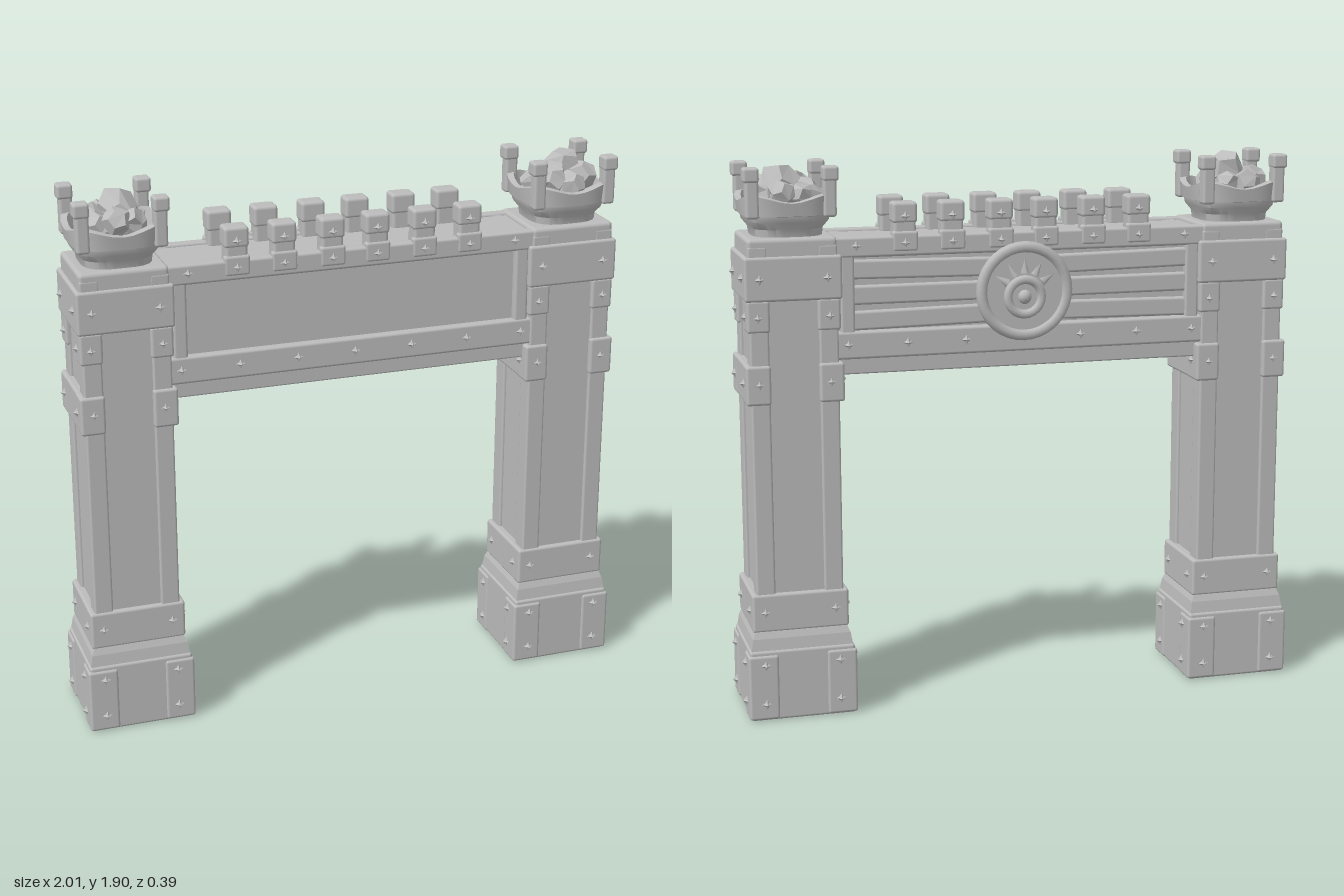
import * as THREE from 'three';
import { toCreasedNormals } from 'three/addons/utils/BufferGeometryUtils.js';
import { RoundedBoxGeometry } from 'three/addons/geometries/RoundedBoxGeometry.js';

const stone = new THREE.MeshStandardMaterial({ color: 0xbcbcbc });
stone.name = 'grey stone';

function add(parent, name, geometry, x = 0, y = 0, z = 0) {
  const mesh = new THREE.Mesh(geometry, stone);
  mesh.name = name;
  mesh.position.set(x, y, z);
  parent.add(mesh);
  return mesh;
}

// Softly worn block given by its size, bottom height and centre
function block(parent, name, w, d, y0, y1, x = 0, z = 0, r = 0.01) {
  const radius = Math.min(r, w / 3, d / 3, (y1 - y0) / 3);
  return add(parent, name, new RoundedBoxGeometry(w, y1 - y0, d, 2, radius), x, (y0 + y1) / 2, z);
}

// Four-sided tapered block
function taper(parent, name, bottom, top, y0, y1, depth) {
  const g = new THREE.CylinderGeometry(top * Math.SQRT2, bottom * Math.SQRT2, y1 - y0, 4);
  g.rotateY(Math.PI / 4).scale(1, 1, depth);
  add(parent, name, toCreasedNormals(g, 0.5), 0, (y0 + y1) / 2, 0);
}

// Small four-pointed stud, facing the direction given by turn (0 = front)
const studShape = new THREE.ConeGeometry(0.026, 0.022, 8);
const sp = studShape.attributes.position;
for (let i = 0; i < sp.count; i++) {
  const x = sp.getX(i), z = sp.getZ(i);
  const k = Math.abs(x * z) > 1e-5 ? 0.5 : 1; // pull in every other corner
  sp.setXYZ(i, x * k, sp.getY(i), z * k);
}
studShape.rotateX(Math.PI / 2);
const studGeometry = toCreasedNormals(studShape, 0.2);
function stud(parent, x, y, z, turn) {
  add(parent, 'stud', studGeometry, x, y, z).rotation.y = turn;
}

// Studs in pairs on all four sides of a pillar
function pillarStuds(parent, y, offX, offZ, halfX, halfZ) {
  for (const s of [-1, 1]) for (const t of [-1, 1]) {
    stud(parent, s * offX, y, t * (halfZ + 0.004), t > 0 ? 0 : Math.PI);
    stud(parent, t * (halfX + 0.004), y, s * offZ, t * Math.PI / 2);
  }
}

function hash(a) {
  const v = Math.sin(a * 127.1 + 11.7) * 43758.5453;
  return v - Math.floor(v);
}

// Rough faceted stone
function rock(parent, radius, x, y, z, seed) {
  const g = new THREE.DodecahedronGeometry(radius, 0);
  const p = g.attributes.position;
  for (let i = 0; i < p.count; i++) {
    const key = Math.round(p.getX(i) * 900) + Math.round(p.getY(i) * 900) * 3.1 + Math.round(p.getZ(i) * 900) * 7.3;
    const k = 0.85 + 0.25 * hash(key + seed);
    p.setXYZ(i, p.getX(i) * k, p.getY(i) * k, p.getZ(i) * k);
  }
  g.computeVertexNormals();
  add(parent, 'rock', g, x, y, z).rotation.set(seed, seed * 2, 0);
}

function makeBowl(seed) {
  const bowl = new THREE.Group();
  bowl.name = 'rockBowl';
  const profile = [[0, 1.655], [0.118, 1.655], [0.122, 1.69], [0.142, 1.715], [0.146, 1.735], [0.154, 1.737],
    [0.161, 1.78], [0.14, 1.782], [0.128, 1.75], [0, 1.75]].map(([r, y]) => new THREE.Vector2(r, y));
  const g = new THREE.LatheGeometry(profile, 32);
  const p = g.attributes.position;
  // Square the round bowl a little and lift the rim towards the corners
  for (let i = 0; i < p.count; i++) {
    const x = p.getX(i), y = p.getY(i), z = p.getZ(i);
    const corner = Math.sin(2 * Math.atan2(z, x)) ** 2;
    const k = 1 + 0.14 * corner;
    p.setXYZ(i, x * k, y + (y > 1.76 ? 0.025 * corner : 0), z * k);
  }
  add(bowl, 'bowl', toCreasedNormals(g, 0.6));
  for (const sx of [-1, 1]) for (const sz of [-1, 1]) {
    block(bowl, 'bowlPost', 0.045, 0.045, 1.73, 1.87, sx * 0.13, sz * 0.125);
    block(bowl, 'bowlPostHead', 0.054, 0.054, 1.85, 1.9, sx * 0.133, sz * 0.125);
  }
  rock(bowl, 0.075, 0.02, 1.83, -0.01, seed);
  for (let i = 0; i < 7; i++) {
    const a = i * Math.PI * 2 / 7 + seed;
    rock(bowl, 0.05 + 0.012 * hash(i + seed), Math.cos(a) * 0.075, 1.785 + 0.03 * hash(i * 3 + seed), Math.sin(a) * 0.075, seed + i);
  }
  return bowl;
}

function makePillar(seed) {
  const pillar = new THREE.Group();
  pillar.name = 'pillar';
  // Plinth with raised corner plates
  block(pillar, 'plinth', 0.366, 0.346, 0, 0.25);
  for (const sx of [-1, 1]) for (const sz of [-1, 1])
    block(pillar, 'plinthCornerPlate', 0.105, 0.095, 0.004, 0.235, sx * 0.137, sz * 0.132);
  for (const y of [0.06, 0.2]) pillarStuds(pillar, y, 0.13, 0.115, 0.19, 0.18);
  taper(pillar, 'plinthSlope', 0.178, 0.17, 0.24, 0.29, 0.94);
  taper(pillar, 'plinthSlopeTop', 0.17, 0.157, 0.29, 0.32, 0.94);
  block(pillar, 'lowerBand', 0.335, 0.305, 0.31, 0.445);
  pillarStuds(pillar, 0.38, 0.122, 0.1, 0.167, 0.152);

  // Shaft with sunken panels between corner strips
  block(pillar, 'shaftCore', 0.28, 0.27, 0.42, 1.63, 0, 0, 0.004);
  for (const sx of [-1, 1]) for (const sz of [-1, 1]) {
    block(pillar, 'cornerStrip', 0.066, 0.072, 0.43, 1.64, sx * 0.118, sz * 0.11, 0.008);
    // Corner brackets at mid height and the pads above them
    block(pillar, 'cornerBracket', 0.085, 0.08, 1.105, 1.24, sx * 0.125, sz * 0.115);
    block(pillar, 'upperCornerPad', 0.078, 0.076, 1.35, 1.46, sx * 0.12, sz * 0.112);
  }
  for (const sx of [-1, 1]) block(pillar, 'sideBand', 0.06, 0.28, 1.105, 1.24, sx * 0.136);
  pillarStuds(pillar, 1.175, 0.122, 0.1, 0.167, 0.153);
  pillarStuds(pillar, 1.4, 0.122, 0.1, 0.158, 0.149);

  // Upper band and cap
  block(pillar, 'upperBand', 0.33, 0.31, 1.455, 1.605);
  pillarStuds(pillar, 1.53, 0.115, 0.095, 0.165, 0.155);
  block(pillar, 'cap', 0.305, 0.29, 1.59, 1.665, 0, 0, 0.015);
  pillar.add(makeBowl(seed));
  return pillar;
}

function makeBeam() {
  const beam = new THREE.Group();
  beam.name = 'beam';
  block(beam, 'beamCore', 1.36, 0.225, 1.2, 1.63, 0, 0, 0.004);
  block(beam, 'underside', 1.32, 0.24, 1.19, 1.25, 0, 0, 0.006);
  block(beam, 'deck', 1.32, 0.26, 1.595, 1.65, 0, 0, 0.008);
  for (const s of [-1, 1]) {
    const turn = s > 0 ? 0 : Math.PI;
    block(beam, 'lowerTrim', 1.32, 0.04, 1.245, 1.34, 0, s * 0.121);
    block(beam, 'upperTrim', 1.32, 0.04, 1.59, 1.66, 0, s * 0.12);
    for (const x of [-0.615, 0.615]) {
      block(beam, 'endTrim', 0.05, 0.04, 1.25, 1.655, x, s * 0.117);
      stud(beam, x * 0.95, 1.63, s * 0.144, turn);
    }
    for (let i = -3; i <= 3; i++) stud(beam, i * 0.205, 1.295, s * 0.145, turn);
    // Battlements with studded feet
    for (const x of [-0.415, -0.25, -0.08, 0.08, 0.25, 0.415]) {
      block(beam, 'merlon', 0.078, 0.064, 1.64, 1.765, x, s * 0.105, 0.012);
      block(beam, 'merlonHead', 0.086, 0.07, 1.7, 1.772, x, s * 0.105, 0.012);
      block(beam, 'merlonFoot', 0.09, 0.03, 1.605, 1.675, x, s * 0.128);
      stud(beam, x, 1.725, s * 0.144, turn);
      stud(beam, x, 1.635, s * 0.146, turn);
    }
  }
  // Horizontal planks on the back
  for (let i = 0; i < 3; i++) {
    const y = 1.345 + i * 0.083;
    const left = block(beam, 'plank', 0.6, 0.03, y, y + 0.066, 0.3, -0.115);
    const right = block(beam, 'plank', 0.6, 0.03, y, y + 0.066, -0.3, -0.115);
    left.rotation.z = (i - 1) * 0.015;
    right.rotation.z = (1 - i) * 0.015;
  }
  beam.add(makeMedallion());
  return beam;
}

// Round ornament on the back of the beam
function makeMedallion() {
  const medal = new THREE.Group();
  medal.name = 'medallion';
  medal.position.set(0, 1.455, -0.135);
  medal.rotation.y = Math.PI;
  const disc = add(medal, 'medallionDisc', new THREE.CylinderGeometry(0.155, 0.165, 0.03, 32));
  disc.rotation.x = Math.PI / 2;
  add(medal, 'medallionRim', new THREE.TorusGeometry(0.152, 0.02, 8, 36), 0, 0, 0.01);
  add(medal, 'innerRing', new THREE.TorusGeometry(0.06, 0.016, 8, 24), 0, -0.02, 0.014);
  add(medal, 'boss', new THREE.SphereGeometry(0.026, 12, 8), 0, -0.02, 0.008);
  // Raised rays over the ring
  for (let i = -2; i <= 2; i++) {
    const a = i * 0.5, r = 0.1;
    const ray = add(medal, 'ray', new THREE.ConeGeometry(0.016, 0.055, 4), Math.sin(a) * r, Math.cos(a) * r - 0.01, 0.014);
    ray.rotation.z = -a;
  }
  return medal;
}

export function createModel() {
  const gate = new THREE.Group();
  gate.name = 'stoneGate';
  for (const s of [-1, 1]) {
    const pillar = makePillar(s > 0 ? 2.3 : 0.7);
    pillar.name = s > 0 ? 'leftPillar' : 'rightPillar';
    pillar.position.x = s * 0.8;
    gate.add(pillar);
  }
  gate.add(makeBeam());
  return gate;
}
